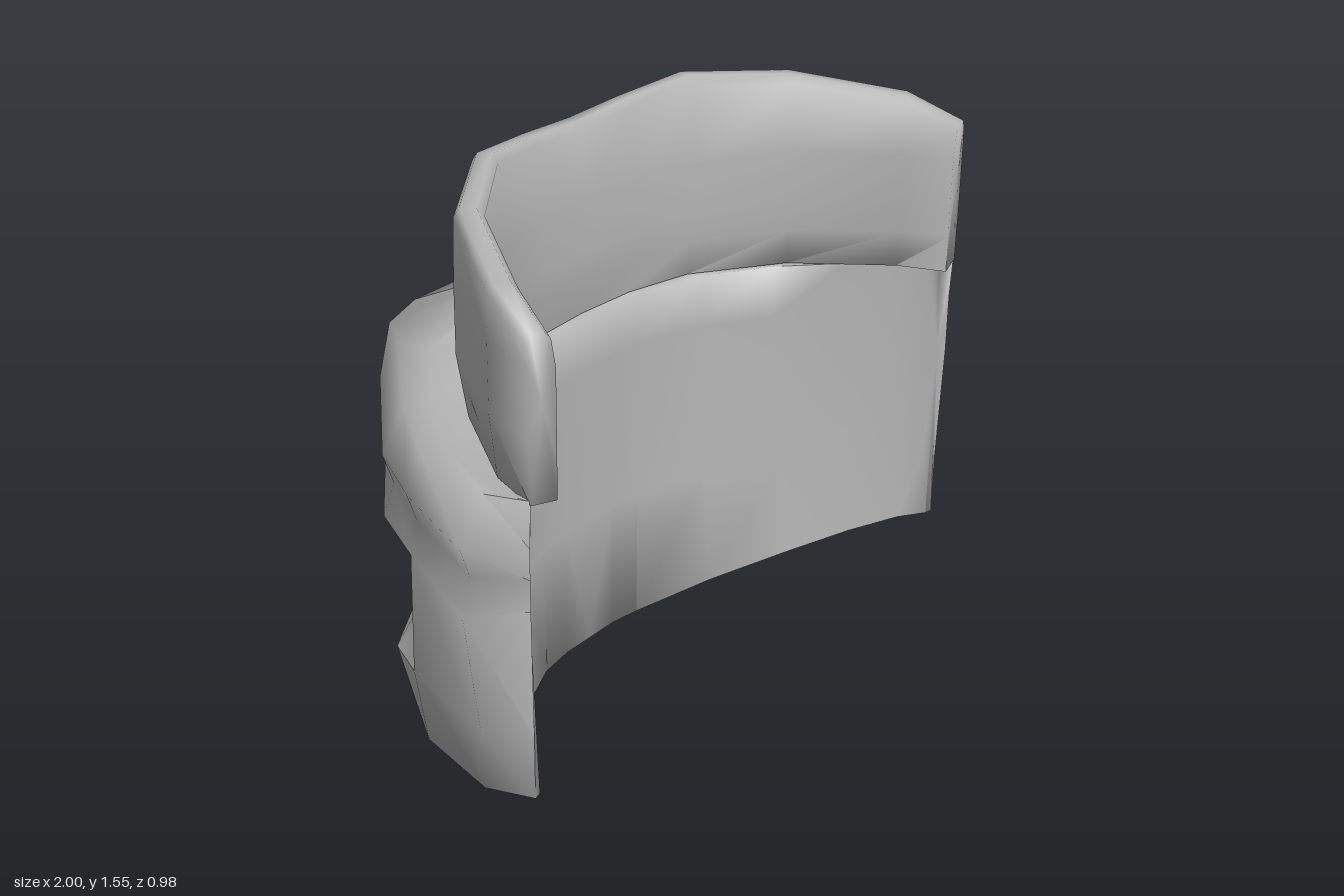
import * as THREE from 'three';
import { toCreasedNormals } from 'three/addons/utils/BufferGeometryUtils.js';

const grey = new THREE.MeshStandardMaterial({ color: 0xb4b4b4 });
grey.name = 'plain grey';

const mirror = ([x, y, z]) => [-x, y, z];

// Turns a list of quads and triangles into a mesh with soft faces and sharp edges
function buildMesh(name, faces, crease) {
  const pos = [];
  for (const f of faces) {
    for (let k = 1; k < f.length - 1; k++) pos.push(...f[0], ...f[k], ...f[k + 1]);
  }
  const g = new THREE.BufferGeometry();
  g.setAttribute('position', new THREE.Float32BufferAttribute(pos, 3));
  const mesh = new THREE.Mesh(toCreasedNormals(g, crease), grey);
  mesh.name = name;
  return mesh;
}

// Joins closed loops, given from the centre to the +x end, mirrored to -x and capped
function loft(half, skip = () => false) {
  const loops = [...half.slice(1).reverse().map((l) => l.map(mirror)), ...half];
  const n = half[0].length, mid = half.length - 1, faces = [];
  for (let i = 0; i < loops.length - 1; i++) {
    const right = i >= mid, col = right ? i - mid : mid - 1 - i;
    for (let j = 0; j < n; j++) {
      if (skip(col, j)) continue;
      const k = (j + 1) % n;
      const [a, b, c, d] = [loops[i][j], loops[i + 1][j], loops[i + 1][k], loops[i][k]];
      // The diagonals mirror each other across the centre
      faces.push(right ? [a, b, c, d] : [b, c, d, a]);
    }
  }
  const first = loops[0], last = loops[loops.length - 1];
  const centre = (l) => [0, 1, 2].map((a) => l.reduce((s, p) => s + p[a], 0) / n);
  for (let j = 0; j < n; j++) {
    const k = (j + 1) % n;
    faces.push([centre(first), first[j], first[k]], [centre(last), last[k], last[j]]);
  }
  return faces;
}

// Outer columns of the face guard from the centre to the end, each from bottom to top
const rowY = [0.02, 0.24, 0.74, 0.82, 0.9];
const ridgeX = (y) => 0.12 + 0.255 * y;
const nose = (f, lipX) => [
  ...rowY.map((y) => [ridgeX(y) * f, y + (y < 0.1 ? 0.005 : 0), -0.43]),
  [lipX, 1.02, -0.485],
];
const outer = [
  nose(0, 0),
  nose(0.7, 0.23),
  [...rowY.map((y) => [ridgeX(y), y, -0.49]), [0.325, 0.985, -0.49]],
  [[0.23, 0, -0.42], [0.335, 0.24, -0.4], [0.42, 0.74, -0.41], [0.43, 0.82, -0.41], [0.45, 0.9, -0.41], [0.42, 0.995, -0.37]],
  [[0.6, 0.12, -0.2], [0.69, 0.31, -0.16], [0.775, 0.74, -0.1], [0.745, 0.82, -0.09], [0.77, 0.9, -0.1], [0.68, 0.99, -0.11]],
  [[0.82, 0.19, 0.06], [0.84, 0.39, 0.04], [0.875, 0.74, 0.08], [0.85, 0.82, 0.08], [0.88, 0.9, 0.08], [0.83, 0.99, 0.08]],
  [[0.93, 0.23, 0.34], [0.95, 0.4, 0.35], [1.0, 0.73, 0.35], [0.97, 0.82, 0.35], [1.0, 0.9, 0.35], [0.93, 1.015, 0.36]],
  [[0.89, 0.23, 0.46], [0.89, 0.4, 0.46], [0.9, 0.74, 0.465], [0.9, 0.82, 0.465], [0.9, 0.9, 0.465], [0.9, 1.02, 0.47]],
];

// Two rows over the top, forming the hump over the nose
const hump = [
  [[0, 1.105, -0.29], [0, 1.18, -0.15]],
  [[0.15, 1.105, -0.29], [0.12, 1.18, -0.15]],
  [[0.26, 1.09, -0.28], [0.22, 1.165, -0.14]],
  [[0.43, 1.02, -0.25], [0.4, 1.02, -0.08]],
  [[0.62, 1.0, -0.08], [0.6, 1.0, 0.07]],
  [[0.79, 0.995, 0.13], [0.74, 0.995, 0.25]],
  [[0.9, 1.01, 0.38], [0.84, 1.0, 0.39]],
  [[0.89, 1.02, 0.46], [0.88, 1.01, 0.44]],
];

// Inner wall: x, top z, bottom y, bottom z
const inner = [
  [0, -0.085, 0.025, -0.09], [0.1, -0.085, 0.025, -0.09], [0.2, -0.08, 0.02, -0.08],
  [0.4, -0.02, 0.07, 0.03], [0.58, 0.1, 0.13, 0.17], [0.72, 0.24, 0.18, 0.29],
  [0.82, 0.35, 0.215, 0.39], [0.868, 0.41, 0.23, 0.455],
].map(([x, zt, yb, zb]) => [
  [x, yb, zb],
  [x, 0.4, zt * 0.5 + zb * 0.5],
  [x, 0.85, zt],
  [x, 0.998, zt],
]);

// The ledge runs level under the band before the hump rises behind it
const guardLoops = outer.map((col, i) => {
  const [p, q] = [inner[i][3], hump[i][1]];
  const ledge = [(p[0] + q[0]) / 2, 0.996, (p[2] + q[2]) / 2];
  return [...inner[i], ledge, q, hump[i][0], ...col.slice().reverse()];
});

// Sunken cheek panel: sloping walls around a floor
function cheekRecess() {
  const [b, c, d] = [outer[3], outer[4], outer[5]];
  const rim = [b[1], c[1], d[1], d[2], c[2], b[2]];
  const mid = [0.67, 0.53, -0.14];
  const inset = [0.42, 0.35, 0.17, 0.1, 0.1, 0.14];
  const depth = [0.05, 0.08, 0.09, 0.1, 0.12, 0.08];
  const floor = rim.map((p, k) => {
    const q = p.map((v, a) => v + (mid[a] - v) * inset[k]);
    return [q[0] - 0.7 * depth[k], q[1], q[2] + 0.7 * depth[k]];
  });
  const faces = rim.map((p, k) => {
    const m = (k + 1) % 6;
    return [p, floor[k], floor[m], rim[m]];
  });
  faces.push([floor[0], floor[5], floor[4], floor[1]], [floor[1], floor[4], floor[3], floor[2]]);
  return faces;
}

// Forehead band: outer x, outer z, inner x, inner z, top y
const bandLoops = [
  [0, -0.165, 0, -0.09, 1.525],
  [0.19, -0.155, 0.19, -0.085, 1.535],
  [0.41, -0.115, 0.38, -0.04, 1.555],
  [0.67, 0.055, 0.61, 0.12, 1.53],
  [0.86, 0.32, 0.78, 0.36, 1.475],
  [0.91, 0.47, 0.83, 0.488, 1.41],
].map(([ox, oz, ix, iz, top], i) => {
  const t = i / 5;
  const at = (f, y) => [ix + (ox - ix) * f, y, iz + (oz - iz) * f];
  return [
    at(0.3 * (1 - t), 1.0), at(0, 1.1), at(-0.1 * (1 - t), 1.18), at(0, 1.32), at(0.15, top - 0.02), at(0.35, top),
    at(0.8, top), at(0.95, top - 0.02), at(1, 1.35), at(1, 1.17), at(0.45 + 0.45 * t, 1.01),
  ];
});

export function createModel() {
  const model = new THREE.Group();
  model.name = 'faceMask';

  // The cheek cells between the second and third outer rows stay open for the recess
  const recessCell = (col, j) => (col === 3 || col === 4) && j === 10;
  model.add(buildMesh('faceGuard', loft(guardLoops, recessCell), 1.7));

  const recess = cheekRecess();
  model.add(buildMesh('leftCheekRecess', recess, 1.6));
  model.add(buildMesh('rightCheekRecess', recess.map((f) => f.map(mirror).reverse()), 1.6));

  model.add(buildMesh('foreheadBand', loft(bandLoops), 1.7));
  return model;
}
